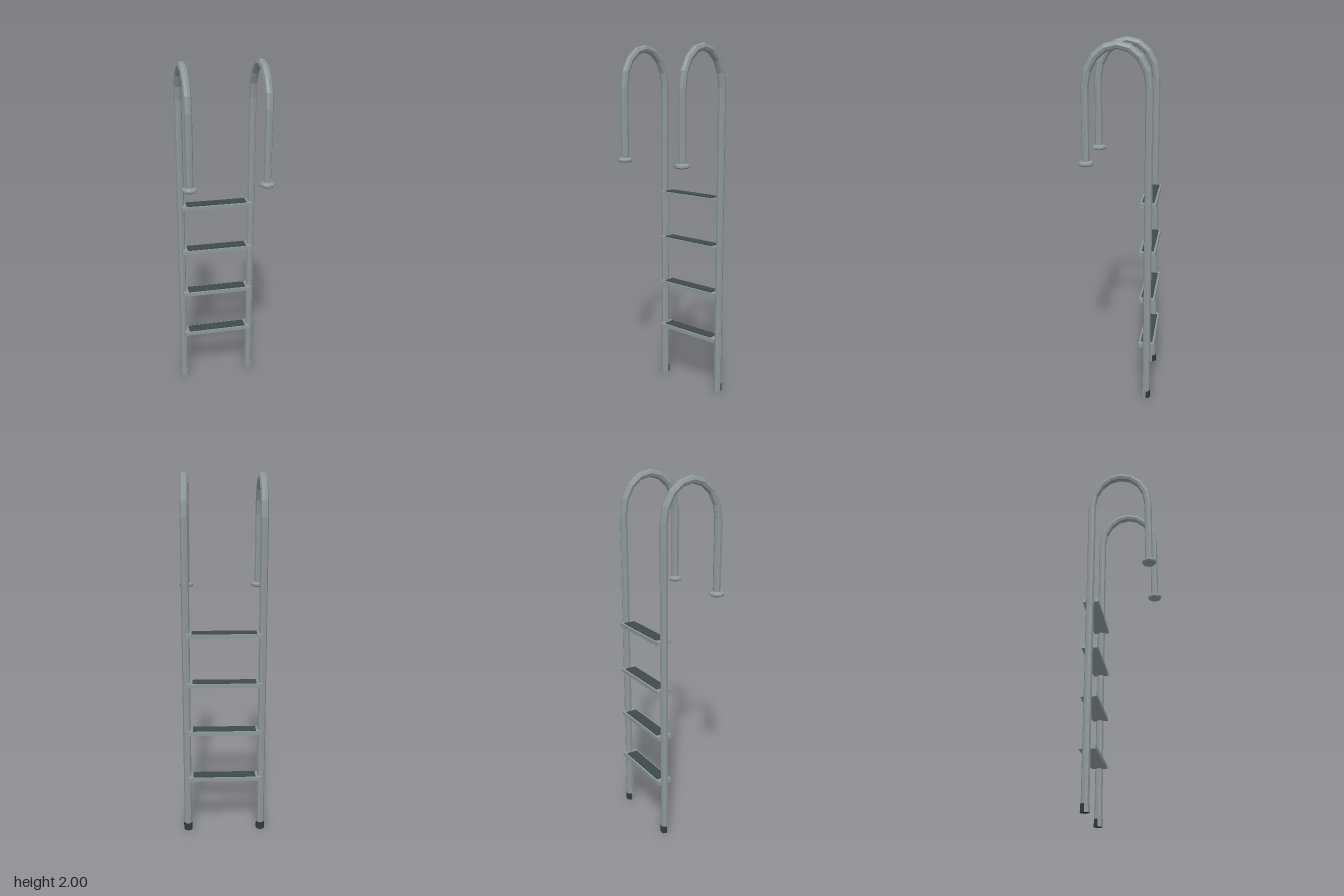
import * as THREE from 'three';

const steel = new THREE.MeshStandardMaterial({ color: 0x8c9699, flatShading: true });
steel.name = 'steel';
const tread = new THREE.MeshStandardMaterial({ color: 0x3f4a49, flatShading: true });
tread.name = 'darkTread';
const rubber = new THREE.MeshStandardMaterial({ color: 0x323a3a, flatShading: true });
rubber.name = 'darkRubber';

const RAIL_X = 0.208, BACK_Z = -0.166, FRONT_Z = 0.164, RADIUS = 0.0215;

// Polyline path whose sample points are exactly its corners
class Polyline extends THREE.Curve {
  constructor(points) { super(); this.points = points; }
  at(u) { return Math.round(u * (this.points.length - 1)); }
  getPoint(u) { return this.points[this.at(u)].clone(); }
  getPointAt(u) { return this.getPoint(u); }
  getTangentAt(u) {
    const i = this.at(u), p = this.points, t = new THREE.Vector3();
    if (i > 0) t.add(p[i].clone().sub(p[i - 1]).normalize());
    if (i < p.length - 1) t.add(p[i + 1].clone().sub(p[i]).normalize());
    return t.normalize();
  }
}

function add(parent, name, geometry, material, x = 0, y = 0, z = 0) {
  const mesh = new THREE.Mesh(geometry, material);
  mesh.name = name;
  mesh.position.set(x, y, z);
  parent.add(mesh);
  return mesh;
}

function makeRail(name, x) {
  const rail = new THREE.Group();
  rail.name = name;
  rail.position.x = x;

  // Upright, arched over the top and down to the deck
  const pts = [new THREE.Vector3(0, 0.005, BACK_Z)];
  const mid = (BACK_Z + FRONT_Z) / 2, half = (FRONT_Z - BACK_Z) / 2;
  for (let i = 0; i <= 8; i++) {
    const a = Math.PI * i / 8;
    pts.push(new THREE.Vector3(0, 1.773 + 0.206 * Math.sin(a), mid - half * Math.cos(a)));
  }
  pts.push(new THREE.Vector3(0, 1.37, FRONT_Z));
  add(rail, 'railTube', new THREE.TubeGeometry(new Polyline(pts), pts.length - 1, RADIUS, 8), steel);

  // Deck flange
  const profile = [[0, 0], [0.035, 0], [0.041, 0.006], [0.041, 0.016], [0.027, 0.026], [0.02, 0.026]]
    .map(([r, y]) => new THREE.Vector2(r, y));
  add(rail, 'deckFlange', new THREE.LatheGeometry(profile, 8), steel, 0, 1.364, FRONT_Z);

  // Foot cap: steel front half, dark rubber back half
  const cap = start => new THREE.CylinderGeometry(0.0245, 0.0245, 0.042, 4, 1, false, start, Math.PI);
  add(rail, 'footCapFront', cap(-Math.PI / 2), [steel, steel, rubber], 0, 0.021, BACK_Z);
  add(rail, 'footCapBack', cap(Math.PI / 2), rubber, 0, 0.021, BACK_Z);
  return rail;
}

export function createModel() {
  const model = new THREE.Group();
  model.name = 'poolLadder';
  model.add(makeRail('leftRail', RAIL_X), makeRail('rightRail', -RAIL_X));

  // Four steps with raised grip pads
  for (let i = 0; i < 4; i++) {
    const step = new THREE.Group();
    step.name = 'step' + (i + 1);
    step.position.set(0, 0.314 + 0.2765 * i, -0.163);
    add(step, 'stepBoard', new THREE.BoxGeometry(0.412, 0.021, 0.086), steel, 0, 0.0105);
    add(step, 'gripPad', new THREE.BoxGeometry(0.35, 0.007, 0.064), tread, 0, 0.0225);
    model.add(step);
  }
  return model;
}
